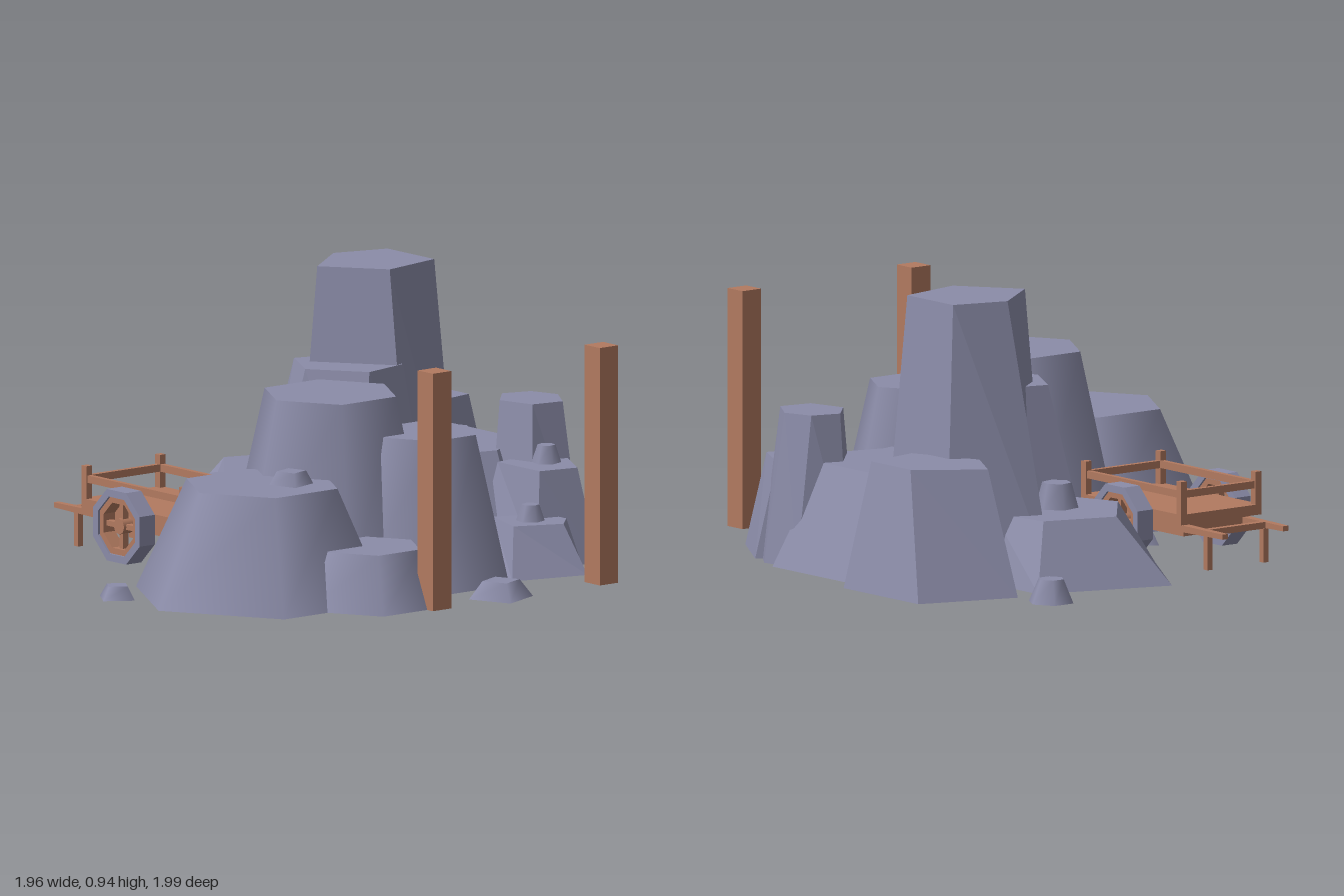
import * as THREE from 'three';

const stone = new THREE.MeshStandardMaterial({ color: 0x8b8ca8 });
stone.name = 'stone';
const wood = new THREE.MeshStandardMaterial({ color: 0xb27a60 });
wood.name = 'wood';

function add(parent, name, geometry, material, x = 0, y = 0, z = 0) {
  const mesh = new THREE.Mesh(geometry, material);
  mesh.name = name;
  mesh.position.set(x, y, z);
  parent.add(mesh);
  return mesh;
}

function box(parent, name, w, h, d, x, y, z) {
  return add(parent, name, new THREE.BoxGeometry(w, h, d), wood, x, y, z);
}

// Tapered column standing on y
function column(parent, name, sides, rTop, rBase, h, x, y, z, turn = 0) {
  const geometry = new THREE.CylinderGeometry(rTop, rBase, h, sides);
  add(parent, name, geometry, stone, x, y + h / 2, z).rotation.y = turn;
}

// Faceted crag between two outlines of [x, z] corners, clockwise from above
function crag(parent, name, height, base, top) {
  const pos = [];
  const low = (i) => [base[i][0], 0, base[i][1]];
  const high = (i) => [top[i][0], height, top[i][1]];
  const n = base.length;
  for (let i = 0; i < n; i++) {
    const j = (i + 1) % n;
    pos.push(...low(i), ...high(j), ...low(j), ...low(i), ...high(i), ...high(j));
    if (i > 0 && j > 0) {
      pos.push(...high(0), ...high(j), ...high(i), ...low(0), ...low(i), ...low(j));
    }
  }
  const geometry = new THREE.BufferGeometry();
  geometry.setAttribute('position', new THREE.Float32BufferAttribute(pos, 3));
  geometry.computeVertexNormals();
  add(parent, name, geometry, stone);
}

// Octagonal ring centred on z = 0
function ring(outer, inner, depth) {
  const corners = (r) => Array.from({ length: 8 }, (_, i) => {
    const a = (i + 0.5) * Math.PI / 4;
    return new THREE.Vector2(r * Math.cos(a), r * Math.sin(a));
  });
  const shape = new THREE.Shape(corners(outer));
  shape.holes.push(new THREE.Path(corners(inner)));
  return new THREE.ExtrudeGeometry(shape, { depth, bevelEnabled: false }).translate(0, 0, -depth / 2);
}

function buildRocks() {
  const rocks = new THREE.Group();
  rocks.name = 'rocks';

  // Smooth six-sided columns
  column(rocks, 'frontColumn', 6, 0.27, 0.45, 0.38, 0.32, 0, 0.51);
  column(rocks, 'tallColumn', 6, 0.235, 0.38, 0.63, 0.215, 0, 0.125);
  column(rocks, 'backColumn', 6, 0.18, 0.3, 0.505, 0.455, 0, -0.09);
  column(rocks, 'sideColumn', 6, 0.18, 0.275, 0.19, 0.645, 0, 0.31);

  // Faceted crags
  crag(rocks, 'peak', 0.94,
    [[-0.46, -0.71], [-0.12, -0.71], [0.03, -0.38], [-0.29, -0.14], [-0.62, -0.38]],
    [[-0.395, -0.63], [-0.15, -0.63], [-0.1, -0.395], [-0.3, -0.245], [-0.45, -0.44]]);
  crag(rocks, 'shoulderCrag', 0.62,
    [[-0.4, -0.45], [0.06, -0.45], [0.06, -0.14], [-0.19, 0.1], [-0.48, -0.1]],
    [[-0.32, -0.42], [-0.06, -0.42], [-0.02, -0.24], [-0.2, -0.11], [-0.38, -0.21]]);
  crag(rocks, 'broadCrag', 0.35,
    [[-0.29, -0.925], [0.205, -0.925], [0.42, -0.55], [0.35, -0.27], [0, -0.1], [-0.5, -0.4]],
    [[-0.26, -0.78], [0.12, -0.78], [0.24, -0.58], [0.19, -0.38], [0.03, -0.28], [-0.35, -0.4]]);
  crag(rocks, 'backLeftCrag', 0.425,
    [[-0.67, -1], [-0.27, -1], [-0.2, -0.7], [-0.5, -0.54], [-0.78, -0.66]],
    [[-0.51, -0.905], [-0.3, -0.905], [-0.26, -0.7], [-0.5, -0.6], [-0.67, -0.7]]);
  crag(rocks, 'lowCrag', 0.225,
    [[-0.77, -0.565], [-0.45, -0.565], [-0.3, 0.05], [-0.53, 0.13], [-0.92, -0.11]],
    [[-0.68, -0.47], [-0.45, -0.5], [-0.35, -0.1], [-0.53, -0.03], [-0.76, -0.22]]);
  crag(rocks, 'narrowCrag', 0.51,
    [[0.13, -0.88], [0.28, -0.9], [0.42, -0.8], [0.4, -0.6], [0.24, -0.54], [0.05, -0.72]],
    [[0.14, -0.81], [0.24, -0.845], [0.35, -0.775], [0.33, -0.66], [0.2, -0.625], [0.11, -0.71]]);
  crag(rocks, 'rearCrag', 0.32,
    [[0.36, -0.875], [0.6, -0.725], [0.55, -0.5], [0.27, -0.45], [0.2, -0.66]],
    [[0.35, -0.79], [0.53, -0.69], [0.5, -0.55], [0.28, -0.55], [0.26, -0.68]]);
  crag(rocks, 'smallCrag', 0.165,
    [[0.45, -0.7], [0.59, -0.66], [0.74, -0.56], [0.67, -0.29], [0.35, -0.36]],
    [[0.47, -0.6], [0.58, -0.6], [0.65, -0.53], [0.58, -0.37], [0.4, -0.43]]);

  // Pebbles: sides, top radius, base radius, height, x, y, z, turn
  [
    [6, 0.045, 0.08, 0.08, -0.915, 0, -0.625, 0],
    [6, 0.05, 0.075, 0.09, -0.49, 0.22, -0.26, 0.2],
    [6, 0.03, 0.05, 0.06, 0.385, 0.32, -0.675, 0.3],
    [6, 0.03, 0.05, 0.06, 0.53, 0.16, -0.485, 0.3],
    [6, 0.025, 0.045, 0.06, 0.28, 0.27, -0.345, 0.2],
    [4, 0.05, 0.075, 0.045, 0.39, 0.38, 0.44, -0.5],
    [4, 0.045, 0.075, 0.045, 0.055, 0, 0.92, 0.2],
    [4, 0.065, 0.112, 0.06, 0.87, 0, -0.075, -0.4],
    [4, 0.045, 0.075, 0.045, -0.21, 0, 0.33, 0.2],
  ].forEach(([sides, rt, rb, h, x, y, z, turn]) => column(rocks, 'pebble', sides, rt, rb, h, x, y, z, turn));
  return rocks;
}

function buildCart() {
  const cart = new THREE.Group();
  cart.name = 'cart';
  const cx = -0.408, cz = 0.297;
  box(cart, 'bed', 0.535, 0.035, 0.345, cx, 0.163, cz);
  box(cart, 'bedBeam', 0.48, 0.045, 0.28, cx, 0.123, cz);
  box(cart, 'axle', 0.025, 0.025, 0.44, cx, 0.13, cz);

  for (const s of [-1, 1]) {
    // Rails and corner posts
    box(cart, 'sideRail', 0.5, 0.025, 0.018, cx, 0.248, cz + s * 0.158);
    box(cart, 'endRail', 0.018, 0.025, 0.3, cx + s * 0.252, 0.248, cz);
    for (const e of [-1, 1]) {
      box(cart, 'cornerPost', 0.025, 0.115, 0.025, cx + e * 0.255, 0.235, cz + s * 0.16);
    }
    // Handles, thinner towards the grip
    const handle = box(cart, 'handle', 0.3, 0.025, 0.034, -0.71, 0.127, cz + s * 0.13);
    const p = handle.geometry.attributes.position;
    for (let i = 0; i < p.count; i++) {
      if (p.getX(i) < 0) p.setXYZ(i, p.getX(i), p.getY(i) * 0.7, p.getZ(i) * 0.65);
    }
    handle.geometry.computeVertexNormals();
    box(cart, 'standLeg', 0.022, 0.115, 0.022, -0.755, 0.0575, cz + s * 0.12);

    // Wheels
    const wheel = new THREE.Group();
    wheel.name = 'wheel';
    wheel.position.set(cx, 0.13, cz + s * 0.21);
    add(wheel, 'tyre', ring(0.132, 0.105, 0.066), stone);
    add(wheel, 'rim', ring(0.106, 0.083, 0.05), wood);
    box(wheel, 'spoke', 0.17, 0.018, 0.025, 0, 0, 0);
    box(wheel, 'spoke', 0.018, 0.17, 0.025, 0, 0, 0);
    add(wheel, 'hub', new THREE.CylinderGeometry(0.028, 0.028, 0.045, 8).rotateX(Math.PI / 2), wood);
    cart.add(wheel);
  }
  box(cart, 'handleBar', 0.024, 0.022, 0.24, -0.755, 0.127, cz);
  return cart;
}

export function createModel() {
  const model = new THREE.Group();
  model.name = 'rockyQuarry';
  model.add(buildRocks(), buildCart());
  for (const z of [-0.51, 0.217]) box(model, 'woodenPost', 0.08, 0.81, 0.08, 0.873, 0.405, z);
  return model;
}
